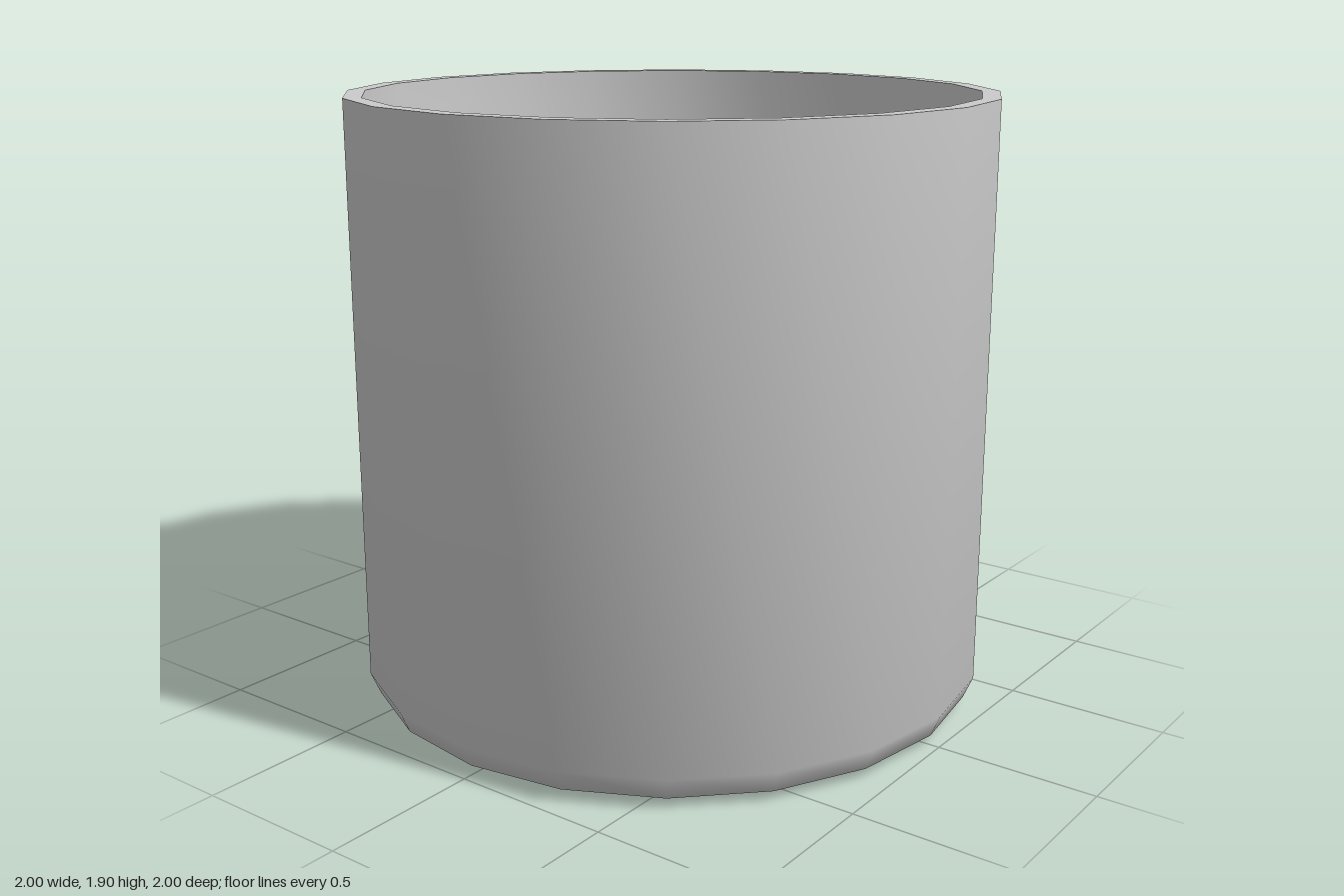
import * as THREE from 'three';
import { toCreasedNormals } from 'three/addons/utils/BufferGeometryUtils.js';

const SIDES = 20;

export function createModel() {
  const group = new THREE.Group();
  group.name = 'cup';

  // Closed section: underside, bevelled foot, outer wall, rim, inner wall, floor
  const profile = [
    [0, 0], [0.85, 0], [0.9, 0], [0.97, 0.03], [1, 0.1], [1, 1.9],
    [0.945, 1.9], [0.945, 0.15], [0.915, 0.085], [0.85, 0.055], [0.8, 0.055], [0, 0.055],
  ].map(([r, y]) => new THREE.Vector2(r, y));

  // Smooth around the wall and foot, sharp at the rim
  const geometry = toCreasedNormals(
    new THREE.LatheGeometry(profile, SIDES),
    THREE.MathUtils.degToRad(50)
  );
  const body = new THREE.Mesh(geometry, new THREE.MeshStandardMaterial({ color: 0xcccccc }));
  body.name = 'cupBody';
  group.add(body);

  return group;
}
